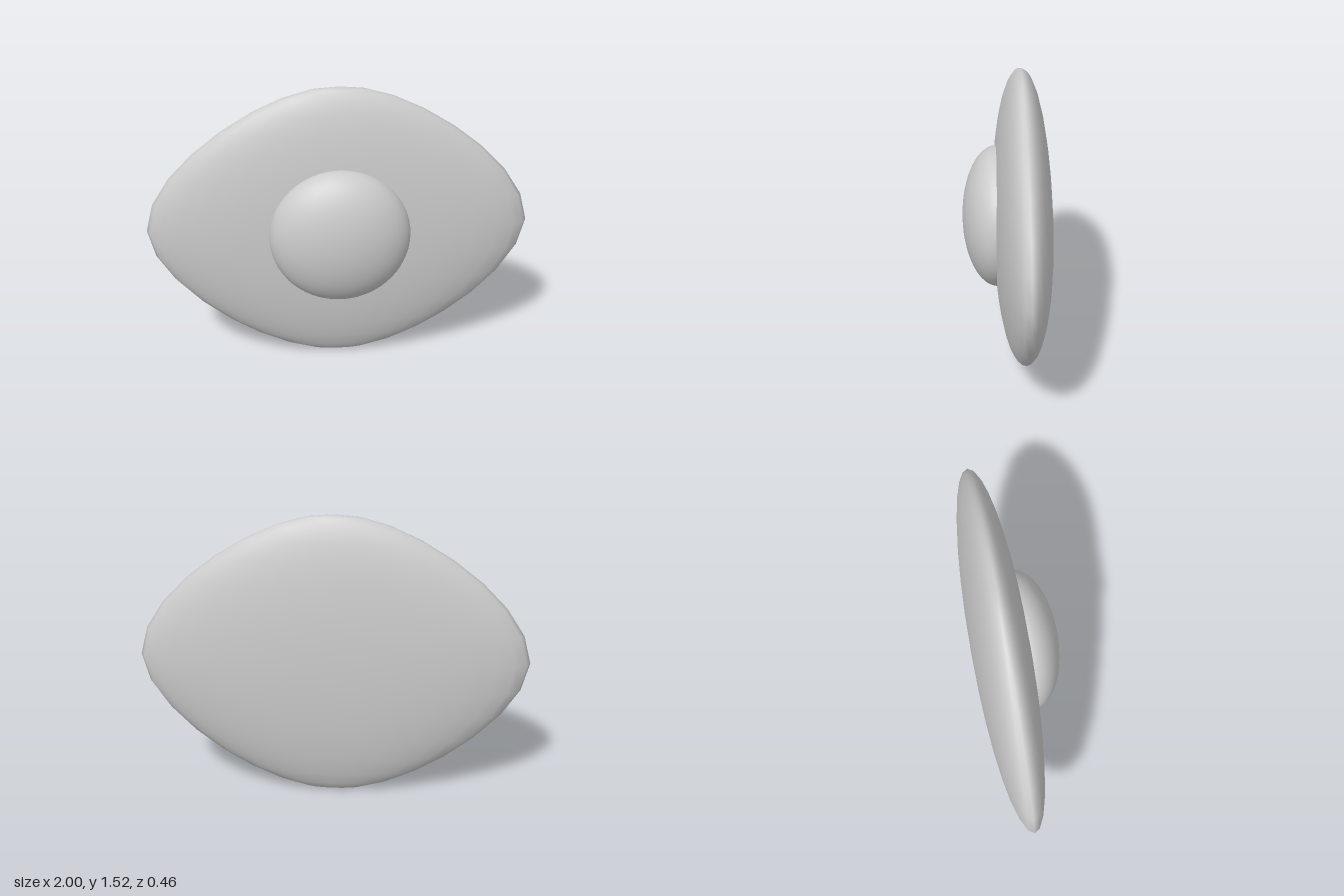
import * as THREE from 'three';
import { mergeVertices } from 'three/addons/utils/BufferGeometryUtils.js';

const CENTER_Y = 0.765;

export function createModel() {
  const group = new THREE.Group();
  group.name = 'eye';
  const material = new THREE.MeshStandardMaterial({ color: 0xcccccc });

  // Almond-shaped eyeball: a flattened sphere narrowed in x towards top and bottom
  let ball = new THREE.SphereGeometry(1, 32, 16);
  const pos = ball.attributes.position;
  for (let i = 0; i < pos.count; i++) {
    const y = pos.getY(i);
    const narrowing = 1 - 0.275 * Math.pow(Math.abs(y), 1.6);
    pos.setXYZ(i, pos.getX(i) * narrowing, y * 0.762, pos.getZ(i) * 0.15);
  }
  // Weld the seam so the smooth normals run across it
  ball.deleteAttribute('uv');
  ball.deleteAttribute('normal');
  ball = mergeVertices(ball, 1e-5);
  ball.computeVertexNormals();
  const eyeball = new THREE.Mesh(ball, material);
  eyeball.name = 'eyeball';
  eyeball.position.set(0, CENTER_Y, -0.08);
  group.add(eyeball);

  // Domed iris bulging from the front
  const iris = new THREE.Mesh(new THREE.SphereGeometry(1, 48, 32), material);
  iris.name = 'iris';
  iris.scale.set(0.366, 0.366, 0.18);
  iris.position.set(0, CENTER_Y, 0.046);
  group.add(iris);

  return group;
}
